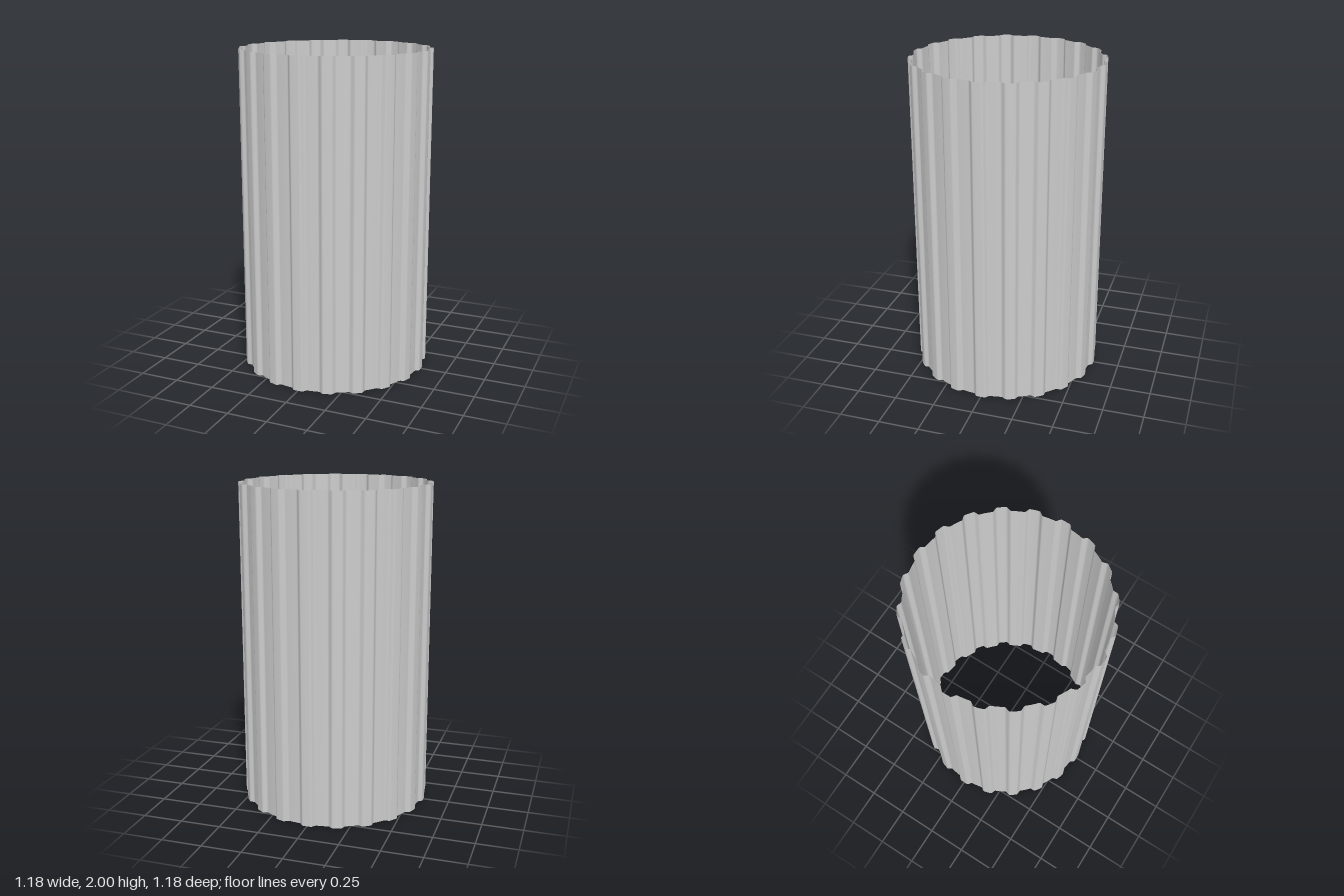
import * as THREE from 'three';

const FLUTES = 20;
const STEPS = 36; // segments per flute
const CREST = 0.588;
const VALLEY = 0.564;

// Radius at an angle: flat crests and valleys joined by short rounded steps
function radiusAt(angle) {
  const period = 360 / FLUTES;
  const deg = THREE.MathUtils.radToDeg(angle);
  const fromCrest = Math.abs(deg - period * Math.round(deg / period));
  const drop = THREE.MathUtils.smoothstep(fromCrest, 2.5, 5.3);
  return THREE.MathUtils.lerp(CREST, VALLEY, drop);
}

export function createModel() {
  const group = new THREE.Group();
  group.name = 'flutedTube';

  // Thin open cylinder, its wall pushed in and out to form the flutes
  const geometry = new THREE.CylinderGeometry(1, 1, 2, FLUTES * STEPS, 1, true);
  geometry.translate(0, 1, 0);
  const pos = geometry.attributes.position;
  for (let i = 0; i < pos.count; i++) {
    const angle = Math.atan2(pos.getX(i), pos.getZ(i));
    const r = radiusAt(angle);
    pos.setXYZ(i, r * Math.sin(angle), pos.getY(i), r * Math.cos(angle));
  }
  geometry.computeVertexNormals();

  const material = new THREE.MeshStandardMaterial({ color: 0xcccccc, side: THREE.DoubleSide });
  const wall = new THREE.Mesh(geometry, material);
  wall.name = 'flutedWall';
  group.add(wall);
  return group;
}
